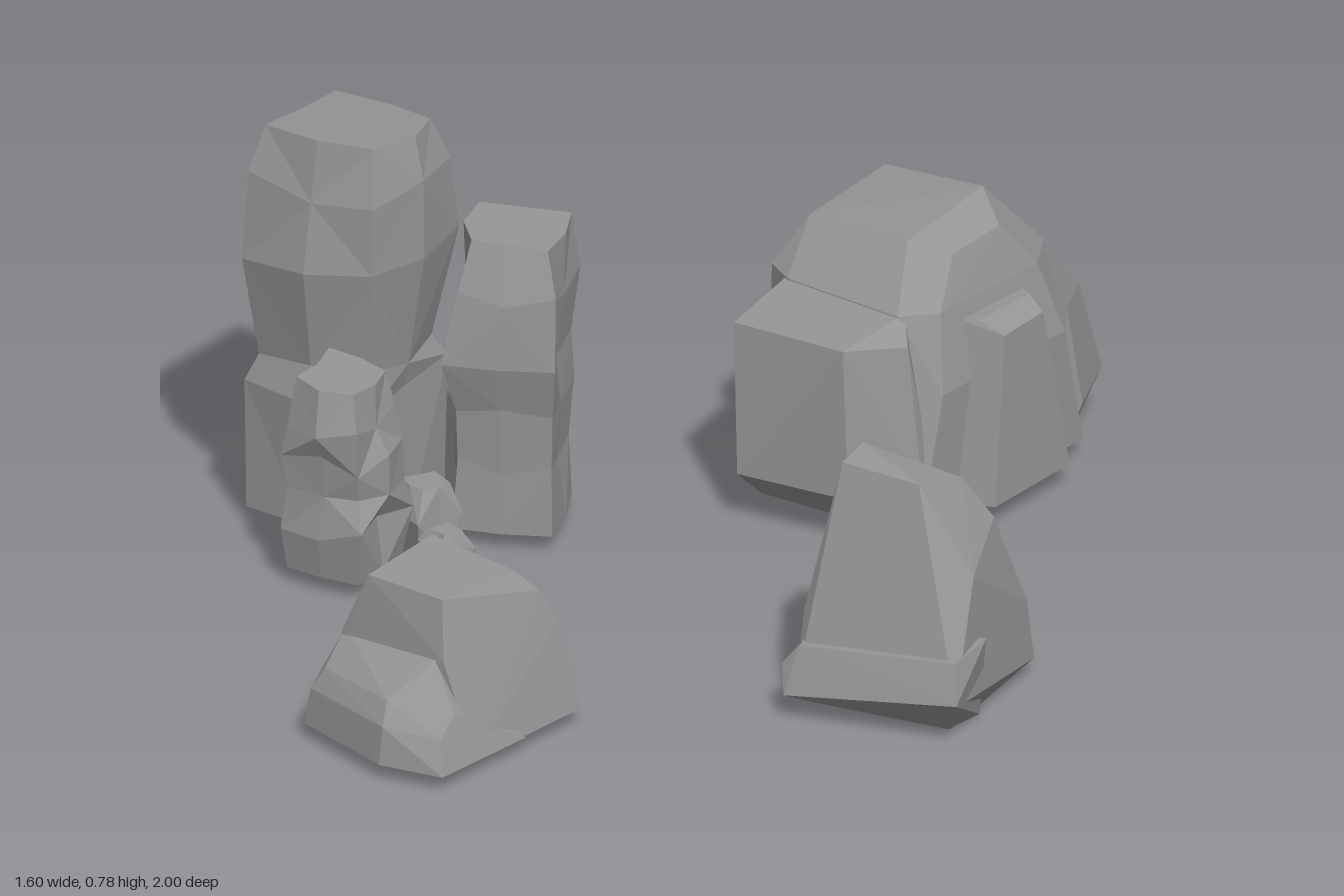
import * as THREE from 'three';
import { ConvexGeometry } from 'three/addons/geometries/ConvexGeometry.js';

export function createModel() {
  const model = new THREE.Group();
  const stone = new THREE.MeshStandardMaterial({ color: 0x959595, flatShading: true });
  stone.name = 'grey stone';

  // A named cluster of rocks
  function cluster(name) {
    const g = new THREE.Group();
    g.name = name;
    model.add(g);
    return g;
  }

  // Faceted block spanned by its corner points
  function block(parent, name, corners) {
    const mesh = new THREE.Mesh(new ConvexGeometry(corners.map((p) => new THREE.Vector3(...p))), stone);
    mesh.name = name;
    parent.add(mesh);
  }

  function seeded(seed) {
    let s = seed;
    return () => {
      s = (s * 16807) % 2147483647;
      return s / 2147483647 - 0.5;
    };
  }

  // Craggy square column: rings of [y, half width, shift x, shift z], turned about its centre
  function column(parent, name, cx, cz, turn, rings, rough, seed, tilt = [0, 0]) {
    const rnd = seeded(seed);
    const n = 8;
    const a = THREE.MathUtils.degToRad(turn);
    const pos = [];
    const index = [];
    rings.forEach(([y, half, dx, dz], k) => {
      const last = k === rings.length - 1;
      for (let i = 0; i < n; i++) {
        const t = (i / n) * Math.PI * 2;
        const r = (i % 2 ? 1.3 : 1) * half + (k ? rnd() * rough : 0);
        const u = r * Math.cos(t);
        const v = r * Math.sin(t);
        const x = u * Math.cos(a) - v * Math.sin(a);
        const z = u * Math.sin(a) + v * Math.cos(a);
        const dy = last ? tilt[0] * x + tilt[1] * z : k ? rnd() * rough : 0;
        pos.push(cx + dx + x, y + dy, cz + dz + z);
      }
    });
    const top = rings.length - 1;
    for (let k = 0; k < top; k++) {
      for (let i = 0; i < n; i++) {
        const j = (i + 1) % n;
        const p = k * n + i, q = k * n + j;
        if ((i + k) % 2) index.push(p, p + n, q, q, p + n, q + n);
        else index.push(p, q + n, q, p, p + n, q + n);
      }
    }
    // Caps
    const [yb, , xb, zb] = rings[0];
    const [yt, , xt, zt] = rings[top];
    const low = pos.length / 3;
    pos.push(cx + xb, yb, cz + zb, cx + xt, yt, cz + zt);
    for (let i = 0; i < n; i++) {
      const j = (i + 1) % n;
      index.push(low, i, j, low + 1, top * n + j, top * n + i);
    }
    const geo = new THREE.BufferGeometry();
    geo.setAttribute('position', new THREE.Float32BufferAttribute(pos, 3));
    geo.setIndex(index);
    geo.computeVertexNormals();
    const mesh = new THREE.Mesh(geo, stone);
    mesh.name = name;
    parent.add(mesh);
  }

  // Large stepped boulder at the back
  const back = cluster('largeBoulder');
  block(back, 'boulderCore', [
    [-0.19, 0.03, -0.42], [-0.19, 0.03, -0.79], [0.2, 0.03, -0.37], [0.2, 0.03, -0.82],
    [0.2, 0.26, -0.43], [0.2, 0.26, -0.77],
    [-0.19, 0.4, -0.43], [-0.19, 0.4, -0.78], [0.12, 0.4, -0.4], [0.12, 0.4, -0.81],
    [0.17, 0.4, -0.46], [0.17, 0.4, -0.73], [-0.13, 0.4, -0.4], [-0.13, 0.4, -0.82],
    [-0.16, 0.48, -0.5], [0.07, 0.5, -0.49], [0.14, 0.48, -0.53],
    [-0.16, 0.5, -0.71], [0.07, 0.53, -0.7], [0.14, 0.49, -0.66],
  ]);
  block(back, 'frontShoulder', [
    [-0.1, 0.03, -0.29], [0.12, 0.03, -0.31], [0.2, 0.03, -0.42], [-0.18, 0.03, -0.46],
    [-0.09, 0.1, -0.21], [0.13, 0.1, -0.25], [0.2, 0.1, -0.37], [-0.18, 0.1, -0.43],
    [-0.13, 0.37, -0.25], [0.11, 0.38, -0.26], [0.16, 0.36, -0.38],
    [-0.14, 0.4, -0.42], [0.12, 0.4, -0.42], [-0.17, 0.37, -0.43],
  ]);
  block(back, 'rearShoulder', [
    [-0.09, 0.03, -0.9], [0.12, 0.03, -0.88], [0.2, 0.03, -0.76], [-0.18, 0.03, -0.74],
    [-0.09, 0.1, -1], [0.13, 0.1, -0.96], [0.2, 0.1, -0.82], [-0.18, 0.1, -0.8],
    [-0.11, 0.27, -0.94], [0.11, 0.27, -0.92], [0.18, 0.29, -0.8],
    [-0.13, 0.39, -0.82], [0.12, 0.39, -0.81], [-0.17, 0.38, -0.78],
  ]);
  block(back, 'sideButtress', [
    [0.15, 0.03, -0.45], [0.15, 0.03, -0.77], [0.27, 0.04, -0.49], [0.26, 0.04, -0.71],
    [0.15, 0.37, -0.51], [0.15, 0.37, -0.69], [0.25, 0.35, -0.54], [0.24, 0.35, -0.66],
    [0.2, 0.37, -0.53], [0.2, 0.37, -0.67],
  ]);

  // Craggy pillars and pebbles on the left of the layout
  const pillars = cluster('pillarRocks');
  column(pillars, 'tallPillar', -0.65, 0.185, -7, [
    [0.03, 0.138, -0.01, 0], [0.28, 0.14, -0.01, 0], [0.34, 0.127, 0, 0], [0.54, 0.14, 0.005, 0.005],
    [0.68, 0.132, 0.005, 0], [0.765, 0.112, 0.005, -0.01],
  ], 0.035, 11, [0.02, 0.1]);
  column(pillars, 'mediumPillar', -0.395, 0.045, -28, [
    [0.03, 0.098, 0, 0], [0.16, 0.1, 0, 0], [0.26, 0.09, 0, 0], [0.36, 0.102, 0, 0.01],
    [0.48, 0.098, 0.005, 0], [0.58, 0.083, 0, -0.01],
  ], 0.035, 23, [-0.05, 0]);
  column(pillars, 'shortPillar', -0.495, 0.39, -8, [
    [0.03, 0.08, 0, 0], [0.12, 0.083, 0, 0], [0.19, 0.076, 0.005, 0], [0.25, 0.085, 0, 0],
    [0.32, 0.083, 0, 0.005], [0.395, 0.068, -0.005, 0],
  ], 0.035, 37, [-0.08, 0]);
  column(pillars, 'pebbleInner', -0.43, 0.235, 20, [
    [0.03, 0.048, 0, 0], [0.09, 0.052, 0, 0], [0.15, 0.035, 0, 0],
  ], 0.018, 41);
  column(pillars, 'pebbleOuter', -0.355, 0.28, 10, [
    [0.03, 0.036, 0, 0], [0.065, 0.038, 0, 0], [0.095, 0.022, 0, 0],
  ], 0.014, 53);

  // Pointed boulder on the right of the layout
  const right = cluster('pointedBoulder');
  block(right, 'boulderBody', [
    [0.43, 0, 0.19], [0.5, 0.01, 0.28], [0.73, 0, 0.2], [0.66, 0.02, 0],
    [0.42, 0.04, 0.08], [0.7, 0.03, -0.07], [0.42, 0.07, 0.22], [0.49, 0.06, 0.34], [0.79, 0.08, 0.26],
    [0.77, 0.16, 0.23], [0.47, 0.19, 0.29], [0.44, 0.3, 0.14], [0.7, 0.15, -0.05],
    [0.75, 0.29, 0.16], [0.69, 0.34, 0.03], [0.46, 0.36, 0.12],
    [0.49, 0.47, 0.15], [0.5, 0.46, 0.22], [0.65, 0.45, 0.19], [0.65, 0.42, 0.07],
  ]);
  block(right, 'frontLedge', [
    [0.43, 0, 0.2], [0.5, 0.02, 0.3], [0.74, 0.01, 0.22], [0.73, 0, 0.12],
    [0.48, 0.05, 0.36], [0.8, 0.09, 0.27], [0.46, 0.1, 0.34], [0.49, 0.14, 0.33],
    [0.78, 0.16, 0.25], [0.77, 0.17, 0.15], [0.5, 0.15, 0.2],
  ]);
  block(right, 'sideLedge', [
    [0.42, 0.02, 0.1], [0.41, 0.07, 0.21], [0.41, 0.06, 0.09], [0.49, 0.05, 0.34],
    [0.43, 0.21, 0.2], [0.43, 0.2, 0.12], [0.49, 0.14, 0.32], [0.52, 0.15, 0.22],
  ]);

  // Low stepped boulder at the front
  const front = cluster('lowBoulder');
  block(front, 'boulderBody', [
    [-0.16, 0.03, 0.59], [0.21, 0.03, 0.59], [0.2, 0.03, 0.88], [-0.13, 0.03, 0.9],
    [-0.13, 0.2, 0.61], [0.17, 0.2, 0.61], [-0.1, 0.28, 0.65], [0.15, 0.26, 0.64],
    [-0.06, 0.32, 0.68], [0.12, 0.3, 0.67], [-0.05, 0.315, 0.87], [0.11, 0.31, 0.86],
    [-0.1, 0.2, 0.88], [0.13, 0.2, 0.88],
  ]);
  block(front, 'frontStep', [
    [-0.13, 0.03, 0.95], [0.08, 0.03, 1], [0.2, 0.03, 0.97], [0.21, 0.03, 0.75], [-0.14, 0.03, 0.75],
    [-0.12, 0.1, 0.945], [0.08, 0.1, 0.99], [0.18, 0.09, 0.95],
    [-0.1, 0.14, 0.93], [0.07, 0.14, 0.965], [0.17, 0.12, 0.9],
    [-0.1, 0.2, 0.87], [0.11, 0.2, 0.88],
  ]);

  return model;
}
